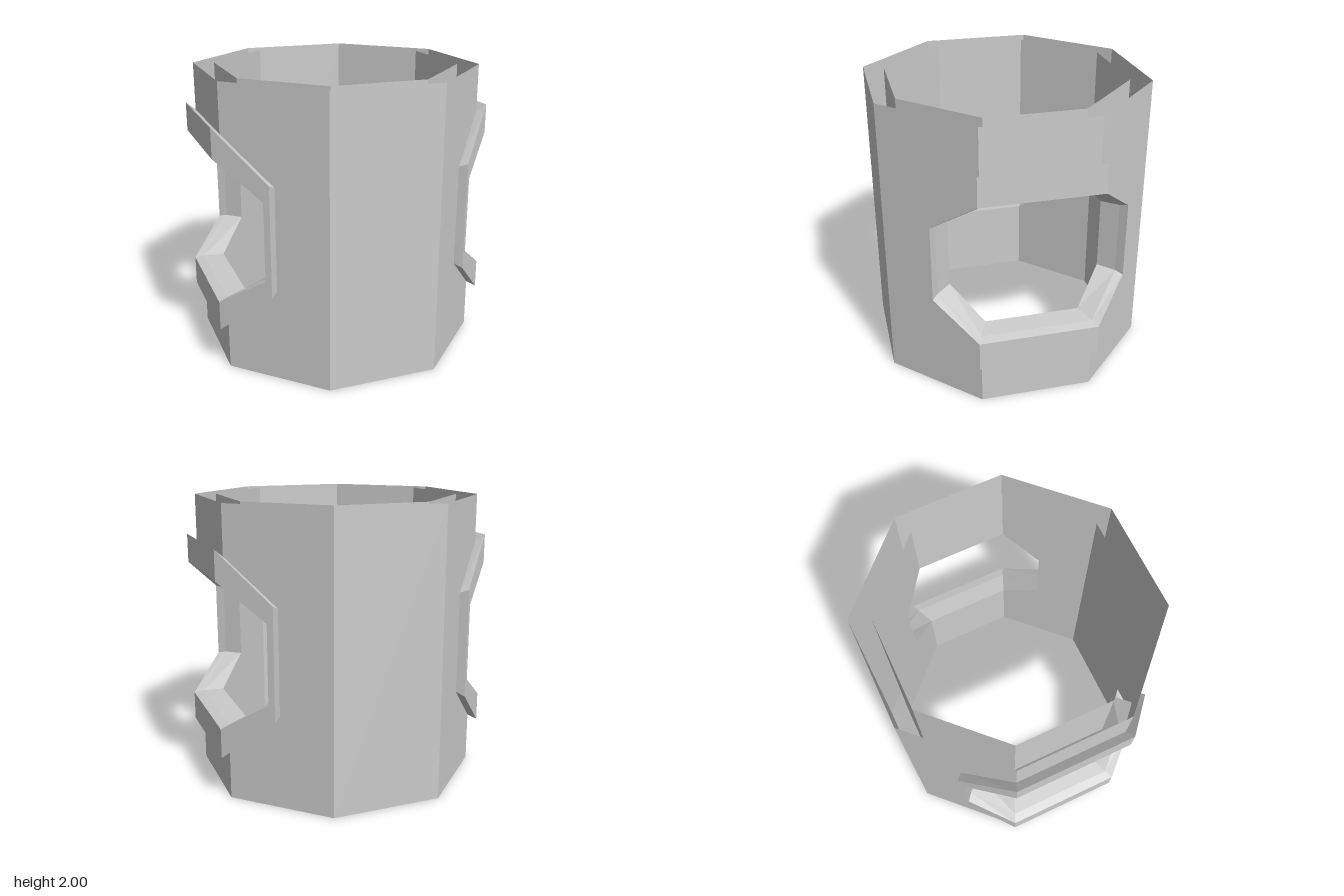
import * as THREE from 'three';

const material = new THREE.MeshStandardMaterial({ color: 0xcccccc, flatShading: true, side: THREE.DoubleSide });
const HEIGHT = 2;

// Octagon sizes: a = distance of a flat from the axis, h = half the flat's width
const octagon = r => ({ a: r * Math.cos(Math.PI / 8), h: r * Math.sin(Math.PI / 8) });
const OUTER = octagon(1), INNER = octagon(0.85), FRAME = octagon(1.068);

// Window outline wrapped round one flat (+x) and parts of its two neighbours
function outline(oct, z, top, midTop, midBottom, bottom) {
  const { a, h } = oct, x = a + h - z;
  return {
    oct, z, top, midTop, midBottom, bottom,
    points: [
      [a, top, h], [a, top, -h], [x, midTop, -z], [x, midBottom, -z],
      [a, bottom, -h], [a, bottom, h], [x, midBottom, z], [x, midTop, z],
    ],
  };
}

// Closed band of quads joining successive outlines
function loft(name, rings) {
  const n = 8, index = [];
  for (let r = 0; r < rings.length - 1; r++) {
    for (let i = 0; i < n; i++) {
      const a = r * n + i, b = r * n + (i + 1) % n, c = a + n, d = b + n;
      index.push(a, d, b, a, c, d);
    }
  }
  const geometry = new THREE.BufferGeometry();
  geometry.setAttribute('position', new THREE.Float32BufferAttribute(rings.flatMap(r => r.points).flat(), 3));
  geometry.setIndex(index);
  geometry.computeVertexNormals();
  const mesh = new THREE.Mesh(geometry, material);
  mesh.name = name;
  return mesh;
}

// Upright flat panel between plan points p and q; polygon is [distance along, y]
function panel(name, p, q, polygon, inward) {
  const start = new THREE.Vector3(p[0], 0, p[1]), end = new THREE.Vector3(q[0], 0, q[1]);
  const length = start.distanceTo(end);
  const pts = polygon.map(([t, y]) => new THREE.Vector2((inward ? 1 - t : t) * length, y));
  if (inward) [start, end] .reverse();
  const from = inward ? end : start, to = inward ? start : end;
  const along = to.clone().sub(from).normalize(), up = new THREE.Vector3(0, 1, 0);
  const geometry = new THREE.ShapeGeometry(new THREE.Shape(pts));
  geometry.applyMatrix4(new THREE.Matrix4().makeBasis(along, up, along.clone().cross(up)).setPosition(from));
  const mesh = new THREE.Mesh(geometry, material);
  mesh.name = name;
  return mesh;
}

const rect = (y0, y1) => [[0, y0], [1, y0], [1, y1], [0, y1]];

// Half of one wall skin: a full panel, two notched panels and the flat around the window
function wallHalf(name, hole, inward) {
  const { oct: { a, h }, z, top, midTop, midBottom, bottom } = hole;
  const group = new THREE.Group();
  group.name = name;
  const t = (z - h) / (a - h);
  const notched = [[0, 0], [1, 0], [1, HEIGHT], [0, HEIGHT], [0, top], [t, midTop], [t, midBottom], [0, bottom]];
  const flipped = notched.map(([u, y]) => [1 - u, y]);
  group.add(
    panel('solidPanel', [-h, a], [h, a], rect(0, HEIGHT), inward),
    panel('notchedPanelFront', [h, a], [a, h], flipped, inward),
    panel('panelAboveWindow', [a, h], [a, -h], rect(top, HEIGHT), inward),
    panel('panelBelowWindow', [a, h], [a, -h], rect(0, bottom), inward),
    panel('notchedPanelBack', [a, -h], [h, -a], notched, inward),
  );
  return group;
}

// Half of the shell with its window; innerTop is the height of the window's inner edge
function shellHalf(name, innerTop) {
  const group = new THREE.Group();
  group.name = name;
  const frameBack = outline(OUTER, 0.655, 1.665, 1.36, 0.645, 0.345);
  const frameOuter = outline(FRAME, 0.697, 1.715, 1.385, 0.62, 0.31);
  const frameInner = outline(FRAME, 0.665, 1.512, 1.272, 0.733, 0.515);
  const outerHole = outline(OUTER, 0.625, 1.48, 1.255, 0.745, 0.53);
  const innerHole = outline(INNER, 0.525, innerTop, 1.25, 0.75, 0.545);
  group.add(
    wallHalf('outerWall', outerHole, false),
    wallHalf('innerWall', innerHole, true),
    loft('windowFrame', [frameBack, frameOuter, frameInner, outerHole]),
    loft('windowReveal', [outerHole, innerHole]),
  );
  return group;
}

export function createModel() {
  const model = new THREE.Group();
  model.name = 'octagonalTube';
  const left = shellHalf('leftHalf', 1.48);
  const right = shellHalf('rightHalf', 1.36);
  right.rotation.y = Math.PI;
  model.add(left, right);
  return model;
}
